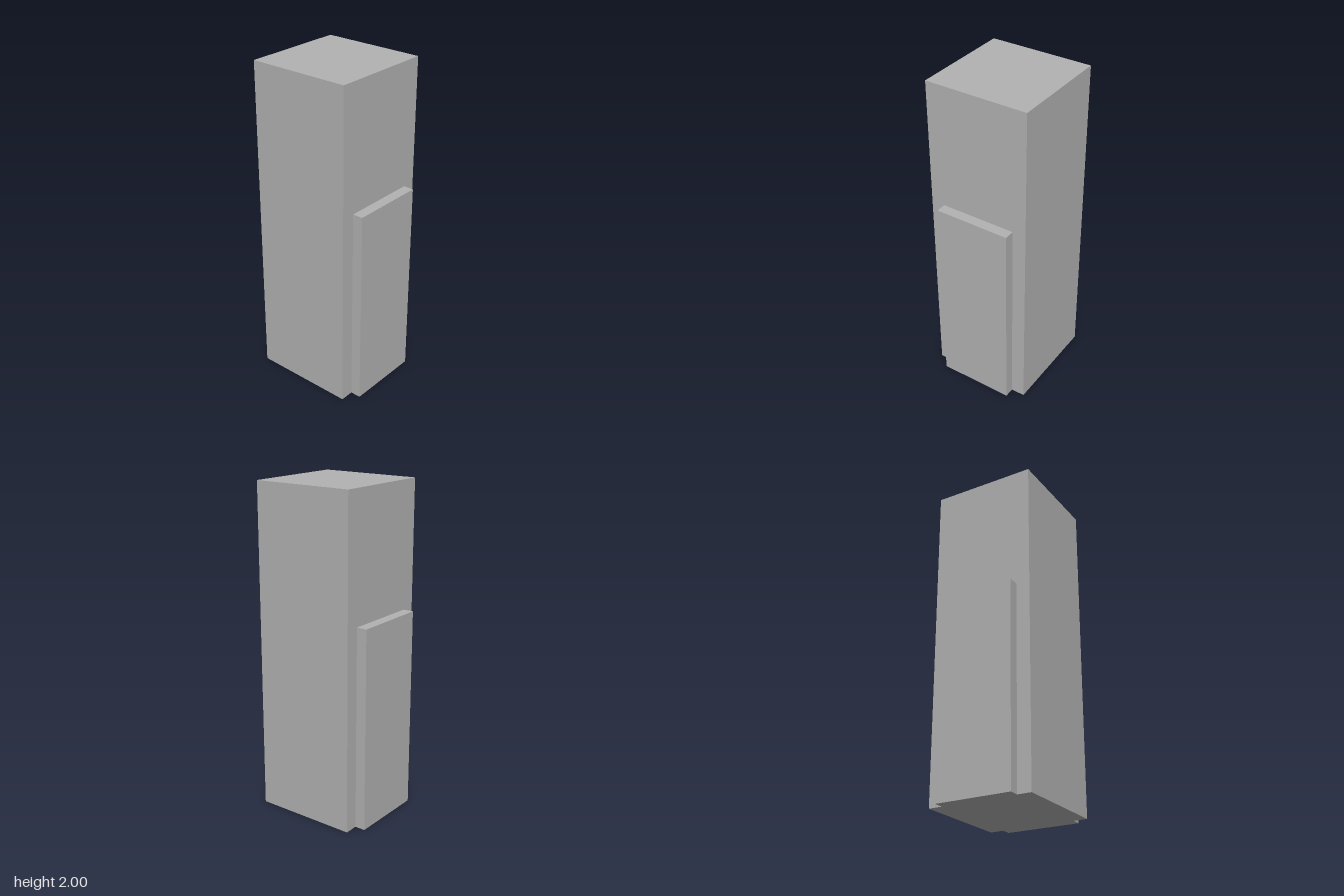
import * as THREE from 'three';

export function createModel() {
  const model = new THREE.Group();
  model.name = 'tower';

  const grey = new THREE.MeshStandardMaterial({ color: 0xb2b2b2 });
  grey.name = 'grey';

  // Box standing on the ground, centred on z
  const addBlock = (name, width, height, depth, x) => {
    const mesh = new THREE.Mesh(new THREE.BoxGeometry(width, height, depth), grey);
    mesh.name = name;
    mesh.position.set(x, height / 2, 0);
    model.add(mesh);
  };

  const bodyWidth = 0.638;
  const panelThickness = 0.064;

  // Tall square body
  addBlock('body', bodyWidth, 2, bodyWidth, 0);

  // Lower slabs against the left and right faces
  for (const [name, side] of [['leftPanel', 1], ['rightPanel', -1]]) {
    addBlock(name, panelThickness, 1.235, 0.468, side * (bodyWidth + panelThickness) / 2);
  }

  return model;
}
